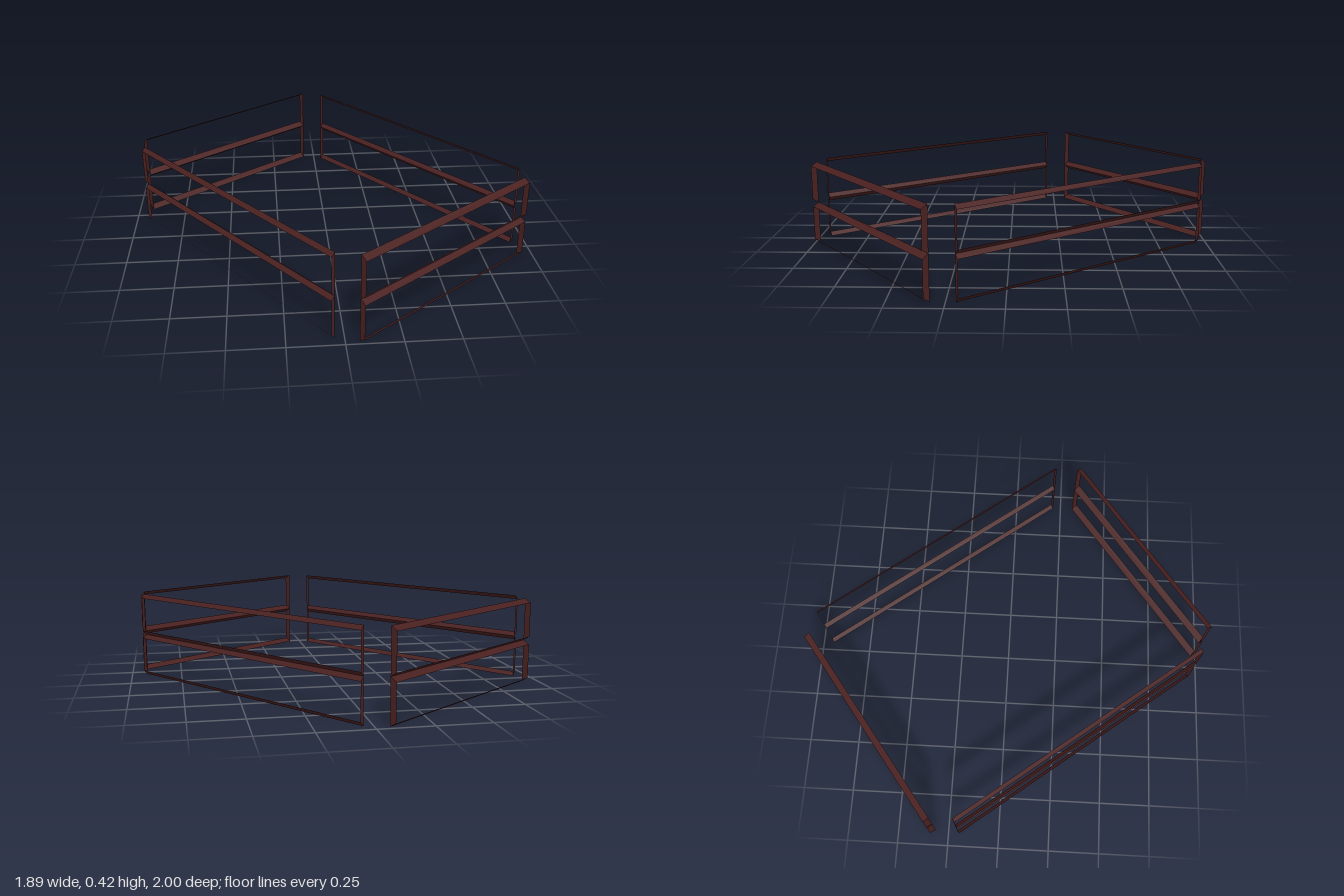
import * as THREE from 'three';

const wood = new THREE.MeshStandardMaterial({ color: 0x4a2020, flatShading: true, side: THREE.DoubleSide });

const TURN = 0.653;      // the rectangle of rails is turned about y
const BOARD = 0.209;     // height of one board
const BEVEL = 0.02;      // bevel height at a board's top and bottom edge

// Open bevelled rim of a board: full height at the inner plane, lower at the outer plane
function rimGeometry(halfLength, inner, outer) {
  const rect = (y0, y1, z) => [
    [-halfLength, y0, z], [halfLength, y0, z], [halfLength, y1, z], [-halfLength, y1, z],
  ];
  const back = rect(0, BOARD, inner);
  const front = rect(BEVEL, BOARD - BEVEL, outer);
  const positions = [];
  for (let i = 0; i < 4; i++) {
    const j = (i + 1) % 4;
    for (const p of [back[i], back[j], front[j], back[i], front[j], front[i]]) positions.push(...p);
  }
  const geometry = new THREE.BufferGeometry();
  geometry.setAttribute('position', new THREE.Float32BufferAttribute(positions, 3));
  geometry.computeVertexNormals();
  return geometry;
}

export function createModel() {
  const model = new THREE.Group();
  model.name = 'boardSurround';

  const shortRim = rimGeometry(0.544, 0.813, 0.844);
  const longRim = rimGeometry(0.726, 0.609, 0.627);

  // Four sides, each of two stacked boards
  const names = ['frontShortSide', 'leftLongSide', 'backShortSide', 'rightLongSide'];
  names.forEach((name, i) => {
    const side = new THREE.Group();
    side.name = name;
    side.rotation.y = TURN + i * Math.PI / 2;
    ['lowerBoard', 'upperBoard'].forEach((boardName, row) => {
      const board = new THREE.Mesh(i % 2 ? longRim : shortRim, wood);
      board.name = boardName;
      board.position.y = row * BOARD;
      side.add(board);
    });
    model.add(side);
  });
  return model;
}
